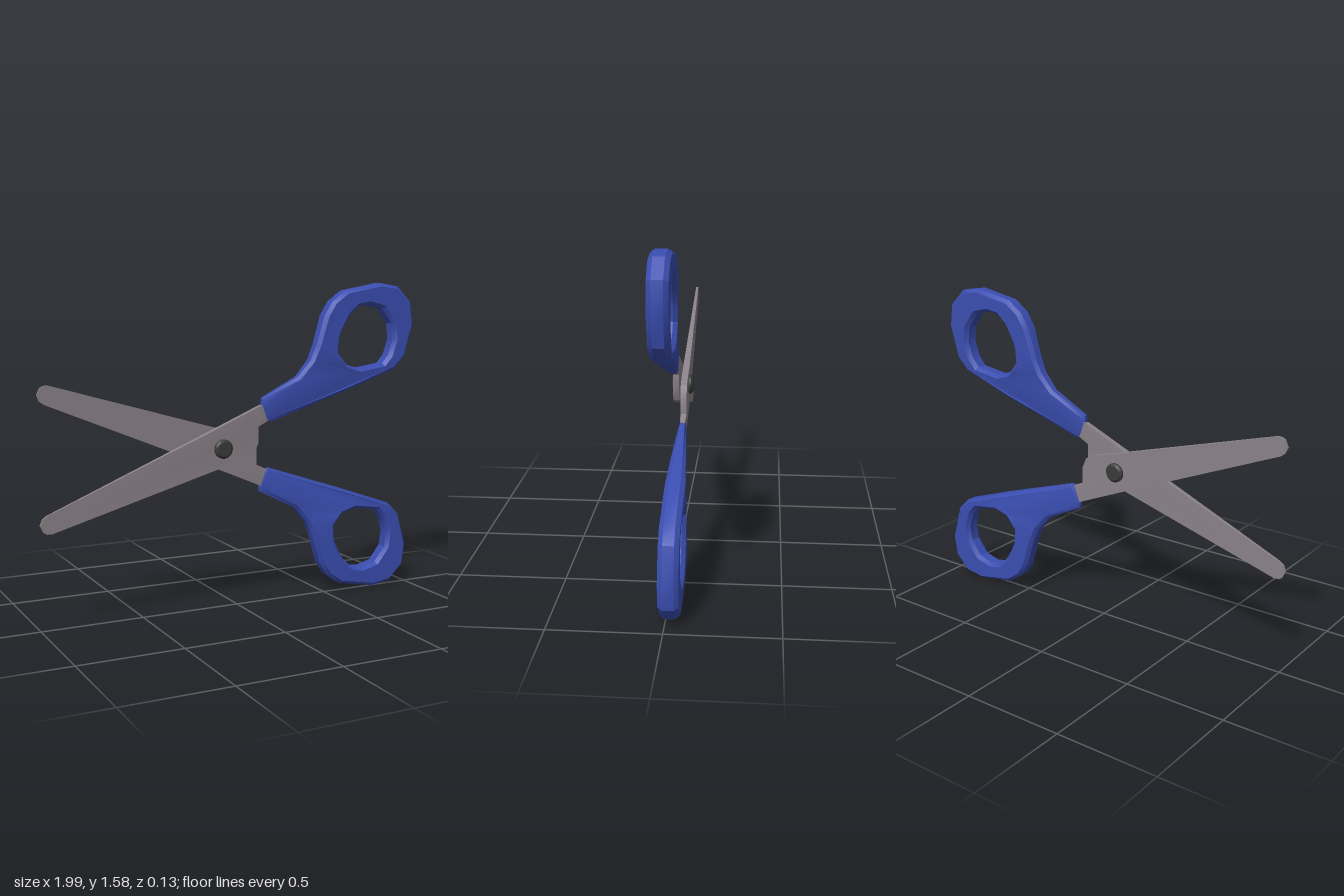
import * as THREE from 'three';
import { toCreasedNormals } from 'three/addons/utils/BufferGeometryUtils.js';

const PIVOT_Y = 0.79;
const steel = new THREE.MeshStandardMaterial({ color: 0x8a8289 });
const blue = new THREE.MeshStandardMaterial({ color: 0x3a4db0 });
const dark = new THREE.MeshStandardMaterial({ color: 0x3a3a3a });

const BLADE = [
  [-0.943, 0.454], [-0.088, 0.7], [0.035, 0.732], [0.077, 0.753], [0.1, 0.807],
  [0.1, 0.887], [0.158, 0.913], [0.21, 0.95], [0.2, 1.02], [0.125, 0.994],
  [-0.126, 0.887], [-0.964, 0.54], [-0.985, 0.525], [-0.997, 0.497], [-0.982, 0.464], [-0.965, 0.455],
];
const HANDLE = [
  [0.125, 1.026], [0.12, 0.988], [0.147, 0.917], [0.174, 0.908], [0.38, 0.976], [0.596, 1.047],
  [0.873, 1.143], [0.938, 1.207], [0.986, 1.373], [0.97, 1.485], [0.889, 1.565],
  [0.783, 1.581], [0.58, 1.544], [0.505, 1.49], [0.462, 1.421], [0.419, 1.277],
  [0.387, 1.202], [0.318, 1.122],
];
const HOLE = [
  [0.548, 1.314], [0.572, 1.365], [0.606, 1.421], [0.654, 1.464], [0.718, 1.474], [0.799, 1.453],
  [0.857, 1.378], [0.868, 1.298], [0.841, 1.218], [0.804, 1.175], [0.665, 1.154],
  [0.59, 1.175], [0.542, 1.234],
];

const points = (list) => list.map(([x, y]) => new THREE.Vector2(x, y - PIVOT_Y));

// Piecewise linear lookup through [x, value] pairs
function ramp(x, stops) {
  if (x <= stops[0][0]) return stops[0][1];
  for (let i = 1; i < stops.length; i++) {
    const [x0, v0] = stops[i - 1], [x1, v1] = stops[i];
    if (x <= x1) return THREE.MathUtils.mapLinear(x, x0, x1, v0, v1);
  }
  return stops[stops.length - 1][1];
}

// Rewrites every z as rule(x, z)
function warpZ(geometry, rule) {
  const p = geometry.attributes.position;
  for (let i = 0; i < p.count; i++) p.setZ(i, rule(p.getX(i), p.getZ(i)));
  return toCreasedNormals(geometry, 0.5);
}

// Blade: bows away from the other one towards its tip, thins at the neck
function bladeGeometry() {
  const g = new THREE.ExtrudeGeometry(new THREE.Shape(points(BLADE)), { depth: 1, bevelEnabled: false });
  return warpZ(g, (x, z) => THREE.MathUtils.lerp(
    ramp(x, [[-1, 0.009], [-0.1, 0.002], [0.1, 0.003], [0.15, 0.008]]),
    ramp(x, [[-1, 0.02], [-0.1, 0.033], [0.1, 0.033], [0.15, 0.028]]), z));
}

// Handle: bevelled loop, slimmer where it grips the blade
function handleGeometry() {
  const shape = new THREE.Shape(points(HANDLE));
  shape.holes.push(new THREE.Path(points(HOLE)));
  const g = new THREE.ExtrudeGeometry(shape, {
    depth: 0.05, bevelThickness: 0.02, bevelSize: 0.016, bevelOffset: -0.016, bevelSegments: 1,
  });
  return warpZ(g, (x, z) => 0.019 + (z - 0.025)
    * ramp(x, [[0.12, 0.38], [0.2, 0.42], [0.35, 0.65], [0.48, 1]]));
}

export function createModel() {
  const model = new THREE.Group();
  model.name = 'scissors';
  const blade = bladeGeometry(), handle = handleGeometry();

  // The two halves are the same part, one turned over
  ['front', 'back'].forEach((side, i) => {
    const half = new THREE.Group();
    half.name = side + 'Half';
    const bladeMesh = new THREE.Mesh(blade, steel);
    bladeMesh.name = side + 'Blade';
    const handleMesh = new THREE.Mesh(handle, blue);
    handleMesh.name = side + 'Handle';
    half.add(bladeMesh, handleMesh);
    half.position.set(i * 0.008, PIVOT_Y, 0);
    half.rotation.x = i * Math.PI;
    model.add(half);
  });

  // Pivot rivet with chamfered heads
  const profile = [[0, -0.051], [0.036, -0.051], [0.047, -0.042], [0.047, 0.042], [0.036, 0.051], [0, 0.051]]
    .map(([r, h]) => new THREE.Vector2(r, h));
  const rivet = new THREE.Mesh(toCreasedNormals(new THREE.LatheGeometry(profile, 24), 0.5), dark);
  rivet.name = 'pivotRivet';
  rivet.rotation.x = Math.PI / 2;
  rivet.position.set(-0.09, PIVOT_Y, 0);
  model.add(rivet);
  return model;
}
